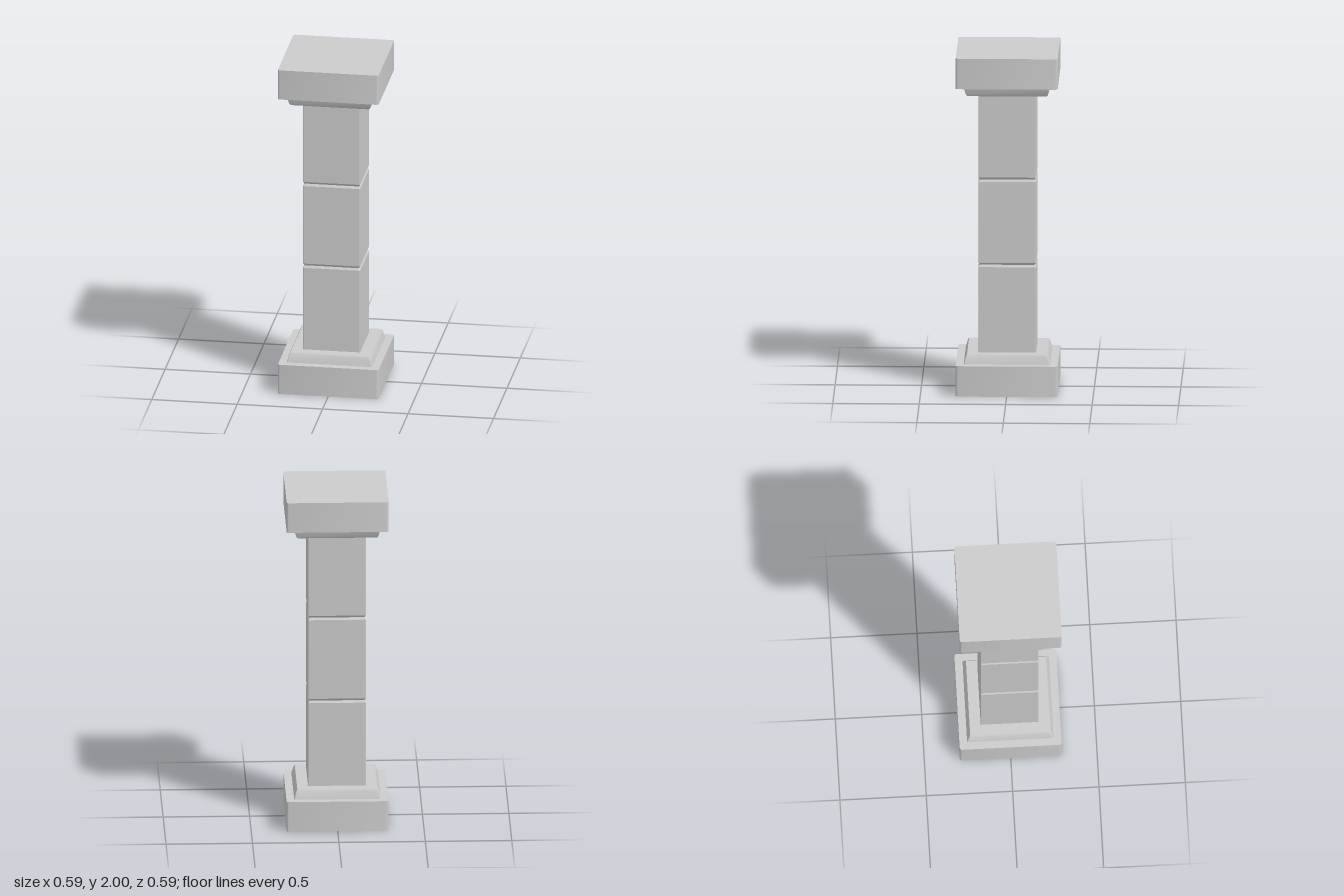
import * as THREE from 'three';
import { toCreasedNormals } from 'three/addons/utils/BufferGeometryUtils.js';

const material = new THREE.MeshStandardMaterial({ color: 0xcccccc });

// Outline of a square with rounded corners, as [x, z] points
function squareOutline(half, radius, steps) {
  const points = [];
  const c = half - radius;
  for (let corner = 0; corner < 4; corner++) {
    const start = corner * Math.PI / 2;
    const cx = corner === 0 || corner === 3 ? c : -c;
    const cz = corner < 2 ? c : -c;
    for (let i = 0; i <= steps; i++) {
      const a = start + (i / steps) * Math.PI / 2;
      points.push([cx + radius * Math.cos(a), cz + radius * Math.sin(a)]);
    }
  }
  return points;
}

// Closed solid through a stack of square sections [half width, y], bottom to top
function squareStack(name, profile, radius, steps) {
  const positions = [];
  const indices = [];
  const n = 4 * (steps + 1);
  for (const [half, y] of profile) {
    for (const [x, z] of squareOutline(half, radius, steps)) positions.push(x, y, z);
  }
  for (let r = 0; r < profile.length - 1; r++) {
    for (let i = 0; i < n; i++) {
      const a = r * n + i, b = r * n + (i + 1) % n;
      indices.push(a, a + n, b, b, a + n, b + n);
    }
  }
  const top = (profile.length - 1) * n;
  for (let i = 1; i < n - 1; i++) {
    indices.push(0, i, i + 1);
    indices.push(top, top + i + 1, top + i);
  }
  const geometry = new THREE.BufferGeometry();
  geometry.setAttribute('position', new THREE.Float32BufferAttribute(positions, 3));
  geometry.setIndex(indices);
  const mesh = new THREE.Mesh(toCreasedNormals(geometry, Math.PI / 6), material);
  mesh.name = name;
  return mesh;
}

export function createModel() {
  const column = new THREE.Group();
  column.name = 'squareColumn';

  // Base and its mirrored capital: a thick slab and a tapered moulding
  const slab = [[0.295, 0], [0.295, 0.18]];
  const moulding = [[0.25, 0.18], [0.237, 0.226], [0.231, 0.235]];
  const flip = (profile) => profile.map(([half, y]) => [half, 2 - y]).reverse();
  column.add(
    squareStack('baseSlab', slab, 0.014, 4),
    squareStack('baseMoulding', moulding, 0.004, 1),
    squareStack('capitalMoulding', flip(moulding), 0.004, 1),
    squareStack('capitalSlab', flip(slab), 0.014, 4)
  );

  // Shaft of three blocks, bevelled where they meet
  const joints = [0.235, 0.752, 1.257, 1.765];
  const bevel = 0.013, inset = 0.158, half = 0.167;
  for (let i = 0; i < 3; i++) {
    const lower = joints[i], upper = joints[i + 1];
    const profile = [];
    if (i > 0) profile.push([inset, lower]);
    profile.push([half, i > 0 ? lower + bevel : lower]);
    profile.push([half, i < 2 ? upper - bevel : upper]);
    if (i < 2) profile.push([inset, upper]);
    column.add(squareStack('shaftBlock' + (i + 1), profile, 0.003, 1));
  }
  return column;
}
